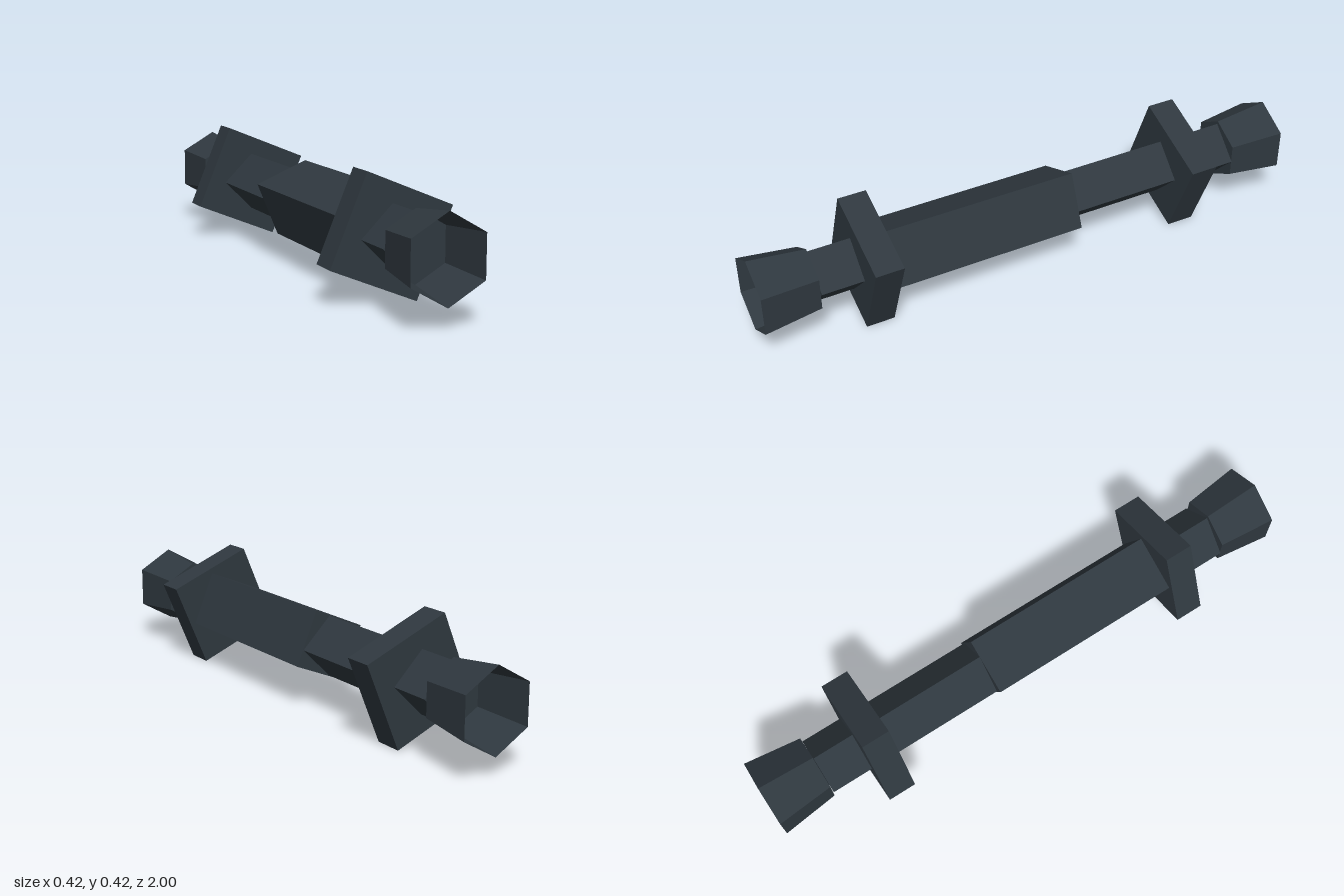
import * as THREE from 'three';

const AXIS_HEIGHT = 0.208;

export function createModel() {
  const model = new THREE.Group();
  model.name = 'hilt';

  const darkMetal = new THREE.MeshStandardMaterial({
    color: 0x2f383f, flatShading: true, side: THREE.DoubleSide,
  });
  darkMetal.name = 'dark metal';

  // Prism or frustum lying along z, from zBack to zFront
  function bar(name, sides, rBack, rFront, zBack, zFront, twist = 0, open = false) {
    const geometry = new THREE.CylinderGeometry(rFront, rBack, zFront - zBack, sides, 1, open);
    geometry.rotateX(Math.PI / 2);
    geometry.rotateZ(twist);
    const mesh = new THREE.Mesh(geometry, darkMetal);
    mesh.name = name;
    mesh.position.set(0, AXIS_HEIGHT, (zBack + zFront) / 2);
    model.add(mesh);
    return mesh;
  }

  const eighth = Math.PI / 8;

  // Square core and the thicker grip around its front half
  bar('shaft', 4, 0.105, 0.105, -0.798, 0.798);
  bar('grip', 4, 0.14, 0.14, -0.15, 0.56, -eighth);

  // Square guard plates
  bar('frontGuard', 4, 0.225, 0.225, 0.55, 0.65, eighth);
  bar('rearGuard', 4, 0.225, 0.225, -0.65, -0.55, eighth);

  // Hollow flared hexagonal ends, closed only at the inner face
  bar('frontFlare', 6, 0.115, 0.14, 0.8, 1, 0, true);
  bar('rearFlare', 6, 0.14, 0.115, -1, -0.8, 0, true);
  for (const [name, side] of [['frontFlareFloor', 1], ['rearFlareFloor', -1]]) {
    const floor = new THREE.Mesh(new THREE.CircleGeometry(0.115, 6, Math.PI / 2), darkMetal);
    floor.name = name;
    floor.position.set(0, AXIS_HEIGHT, side * 0.8);
    if (side < 0) floor.rotation.y = Math.PI;
    model.add(floor);
  }

  return model;
}
